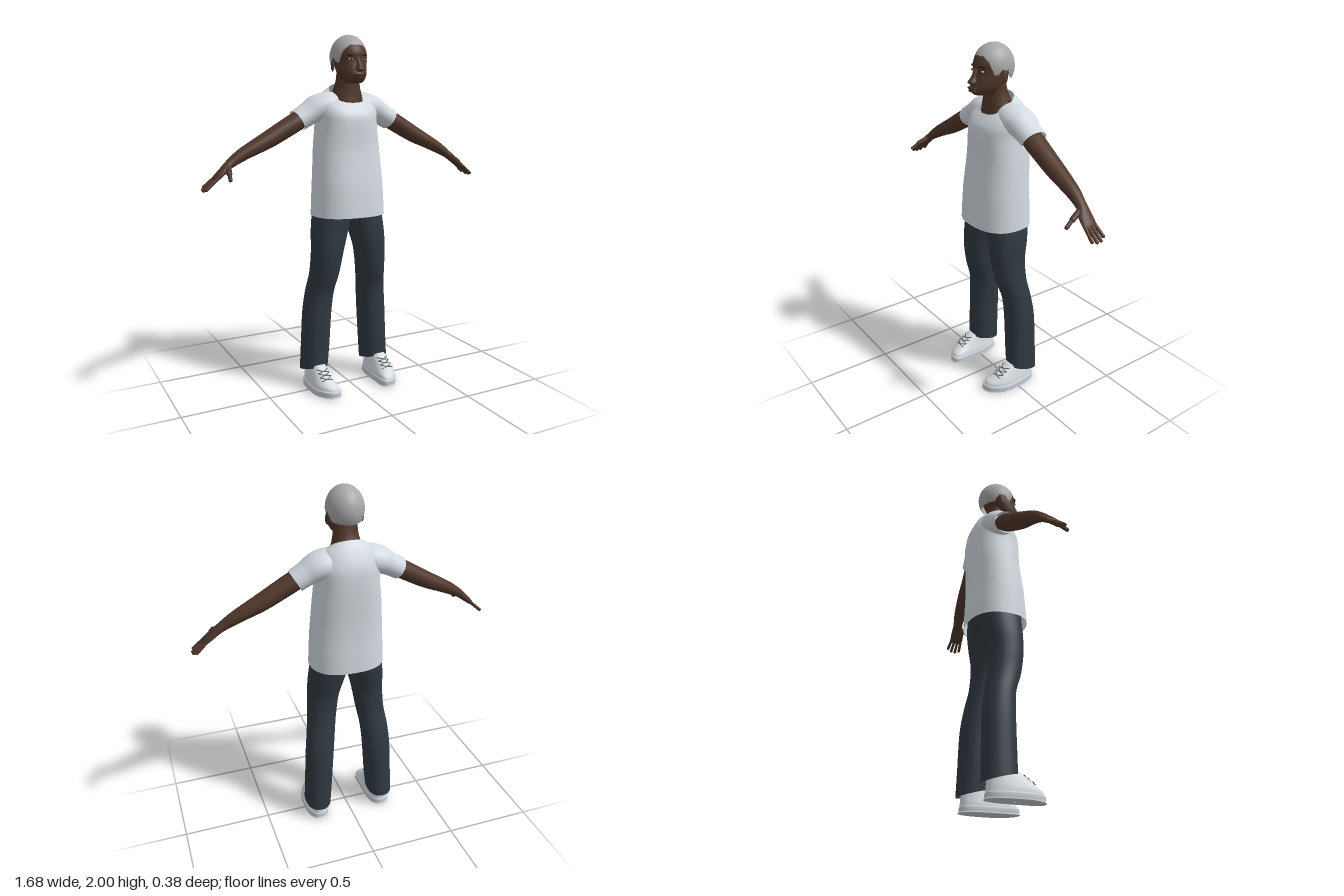
import * as THREE from 'three';
import { mergeVertices } from 'three/addons/utils/BufferGeometryUtils.js';

const material = (name, color, side = THREE.FrontSide) => {
  const m = new THREE.MeshStandardMaterial({ color, side });
  m.name = name;
  return m;
};

// Horizontal section: height, x extent, z extent (back, front), rise of the front edge
const level = (y, x0, x1, zb, zf, tilt = 0) =>
  [(x0 + x1) / 2, y, (zb + zf) / 2, (x1 - x0) / 2, (zf - zb) / 2, 0, tilt];
const even = (y, hw, zb, zf, tilt) => level(y, -hw, hw, zb, zf, tilt);

// Section across a limb that heads at `deg` in the xy plane
const across = (x, y, z, thick, wide, deg) =>
  [x, y, z, thick, wide, THREE.MathUtils.degToRad(deg - 90), 0];

const spline = (a, b, c, d, t) =>
  b + 0.5 * t * (c - a + t * (2 * a - 5 * b + 4 * c - d + t * (3 * (b - c) + d - a)));

// Smooth skin through sections [x, y, z, radiusA, radiusB, angle, tilt]
function loft(sections, power = 2, n = 36, steps = 5) {
  const rows = [];
  const last = sections.length - 1;
  const at = (i) => sections[Math.min(last, Math.max(0, i))];
  for (let i = 0; i < last; i++)
    for (let s = 0; s < steps; s++)
      rows.push(at(i).map((_, k) =>
        spline(at(i - 1)[k], at(i)[k], at(i + 1)[k], at(i + 2)[k], s / steps)));
  rows.push(sections[last]);
  const pos = [], index = [];
  const bulge = (v) => Math.sign(v) * Math.abs(v) ** (2 / power);
  rows.forEach(([x, y, z, ra, rb, ang, tilt], r) => {
    for (let j = 0; j < n; j++) {
      const t = (j / n) * Math.PI * 2;
      const a = Math.max(ra, 0.0005) * bulge(Math.cos(t)), b = bulge(Math.sin(t));
      pos.push(x + a * Math.cos(ang), y + a * Math.sin(ang) + tilt * b, z + Math.max(rb, 0.0005) * b);
      if (r === rows.length - 1) continue;
      const p = r * n + j, q = r * n + (j + 1) % n;
      index.push(p, p + n, q, q, p + n, q + n);
    }
  });
  const g = new THREE.BufferGeometry();
  g.setAttribute('position', new THREE.Float32BufferAttribute(pos, 3));
  g.setIndex(index);
  g.computeVertexNormals();
  return g;
}

function mirrored(geo) {
  const g = geo.clone();
  const p = g.attributes.position;
  for (let i = 0; i < p.count; i++) p.setX(i, -p.getX(i));
  const ix = g.index.array;
  for (let i = 0; i < ix.length; i += 3) [ix[i], ix[i + 1]] = [ix[i + 1], ix[i]];
  g.computeVertexNormals();
  return g;
}

const blob = (x, y, z, rx, ry, rz) =>
  new THREE.SphereGeometry(1, 20, 14).scale(rx, ry, rz).translate(x, y, z);

function capsule(from, to, r) {
  const a = new THREE.Vector3(...from), b = new THREE.Vector3(...to);
  const d = b.clone().sub(a);
  const q = new THREE.Quaternion().setFromUnitVectors(new THREE.Vector3(0, 1, 0), d.clone().normalize());
  const mid = a.add(b).multiplyScalar(0.5);
  return new THREE.CapsuleGeometry(r, d.length(), 5, 12).applyQuaternion(q).translate(mid.x, mid.y, mid.z);
}

// Hair cap whose lower edge follows the hairline around the head
function hairCap() {
  const line = [[0, 1.94], [0.45, 1.938], [0.8, 1.91], [1.05, 1.845], [1.25, 1.845],
    [1.4, 1.87], [1.75, 1.865], [2.0, 1.82], [3.2, 1.81]];
  const edge = (a) => {
    const i = Math.max(1, line.findIndex((p) => p[0] >= a));
    const [a0, y0] = line[i - 1], [a1, y1] = line[i];
    return y0 + (y1 - y0) * (a - a0) / (a1 - a0);
  };
  const g = new THREE.SphereGeometry(1, 72, 24);
  const p = g.attributes.position, uv = g.attributes.uv;
  for (let i = 0; i < p.count; i++) {
    const phi = uv.getX(i) * Math.PI * 2;
    const a = Math.acos(THREE.MathUtils.clamp(Math.sin(phi), -1, 1));
    const polar = (1 - uv.getY(i)) * Math.acos((edge(a) - 1.88) / 0.12);
    p.setXYZ(i, -Math.cos(phi) * Math.sin(polar) * 0.1, 1.88 + 0.12 * Math.cos(polar),
      Math.sin(phi) * Math.sin(polar) * 0.114 - 0.002);
  }
  g.deleteAttribute('uv');
  g.deleteAttribute('normal');
  const m = mergeVertices(g, 1e-5);
  m.computeVertexNormals();
  return m;
}

export function createModel() {
  const root = new THREE.Group();
  root.name = 'standingFigure';
  const skin = material('skin', 0x50372b);
  const lip = material('lips', 0x41291f);
  const hair = material('greyHair', 0xa8a8a8, THREE.DoubleSide);
  const shirt = material('shirtCloth', 0xd2d9df, THREE.DoubleSide);
  const denim = material('trouserCloth', 0x303941, THREE.DoubleSide);
  const shoe = material('shoeLeather', 0xd6dce1);
  const sole = material('shoeSole', 0xc6cdd3);
  const lace = material('laces', 0x60666b);
  const white = material('eyeWhite', 0xb9b2aa);
  const dark = material('irisAndBrow', 0x1f1613);

  const add = (name, geo, mat) => {
    const mesh = new THREE.Mesh(geo, mat);
    mesh.name = name;
    root.add(mesh);
  };
  const pair = (name, geo, mat) => {
    add(name + 'Left', geo, mat);
    add(name + 'Right', mirrored(geo), mat);
  };

  // Head and neck
  add('head', loft([
    even(1.738, 0.001, 0.05, 0.06), even(1.742, 0.035, 0, 0.112), even(1.755, 0.054, -0.02, 0.13),
    even(1.785, 0.073, -0.05, 0.134), even(1.82, 0.083, -0.065, 0.122), even(1.86, 0.089, -0.088, 0.111),
    even(1.9, 0.09, -0.1, 0.112), even(1.94, 0.08, -0.09, 0.093), even(1.97, 0.05, -0.06, 0.055),
    even(1.985, 0.001, 0, 0.001)]), skin);
  add('neck', loft([
    even(1.56, 0.08, -0.09, 0.04), even(1.63, 0.094, -0.1, 0.054), even(1.67, 0.09, -0.103, 0.052),
    even(1.71, 0.077, -0.094, 0.05), even(1.76, 0.066, -0.073, 0.05), even(1.83, 0.064, -0.058, 0.05)]), skin);
  add('hair', hairCap(), hair);
  add('nose', loft([
    even(1.797, 0.001, 0.11, 0.112), even(1.802, 0.017, 0.1, 0.143), even(1.812, 0.023, 0.1, 0.158),
    even(1.835, 0.014, 0.1, 0.141), even(1.872, 0.009, 0.1, 0.118), even(1.885, 0.001, 0.105, 0.107)], 2, 20), skin);
  add('upperLip', blob(0, 1.781, 0.131, 0.032, 0.008, 0.023), lip);
  add('lowerLip', blob(0, 1.768, 0.129, 0.028, 0.009, 0.022), lip);
  pair('ear', blob(0, 0, 0, 0.008, 0.034, 0.02).rotateX(-0.2).rotateY(0.3).translate(0.094, 1.836, -0.008), skin);
  pair('eyeWhite', blob(0.039, 1.866, 0.1, 0.014, 0.006, 0.008), white);
  pair('iris', blob(0.039, 1.866, 0.105, 0.006, 0.006, 0.005), dark);
  pair('eyebrow', blob(0, 0, 0, 0.022, 0.004, 0.006).rotateY(0.35).translate(0.042, 1.889, 0.1), dark);

  // Shirt body with scooped neck, and short sleeves
  add('shirtBody', loft([
    even(1.012, 0.21, -0.18, 0.153), even(1.1, 0.206, -0.178, 0.148), even(1.2, 0.201, -0.174, 0.14),
    even(1.3, 0.194, -0.174, 0.127), even(1.4, 0.186, -0.178, 0.116), even(1.52, 0.173, -0.182, 0.114),
    even(1.59, 0.173, -0.174, 0.106, -0.02), even(1.65, 0.155, -0.135, 0.085, -0.045),
    even(1.688, 0.1, -0.098, 0.06, -0.052)], 2.4, 48), shirt);
  pair('sleeve', loft([
    across(0.07, 1.625, -0.045, 0.07, 0.08, -8), across(0.12, 1.615, -0.05, 0.079, 0.095, -13),
    across(0.178, 1.602, -0.053, 0.073, 0.09, -20), across(0.23, 1.573, -0.051, 0.063, 0.078, -27),
    across(0.288, 1.54, -0.049, 0.06, 0.073, -30)]), shirt);

  // Bare arms, hands and fingers
  pair('arm', loft([
    across(0.2, 1.588, -0.045, 0.04, 0.045, -28), across(0.28, 1.545, -0.044, 0.05, 0.06, -29),
    across(0.37, 1.495, -0.041, 0.05, 0.056, -29), across(0.465, 1.443, -0.038, 0.046, 0.052, -27),
    across(0.55, 1.402, -0.034, 0.039, 0.045, -26), across(0.62, 1.366, -0.03, 0.033, 0.037, -31),
    across(0.685, 1.325, -0.021, 0.024, 0.03, -38), across(0.725, 1.292, -0.01, 0.019, 0.04, -42),
    across(0.765, 1.258, -0.004, 0.014, 0.041, -43), across(0.782, 1.242, -0.004, 0.002, 0.03, -43)]), skin);
  [[-0.035, -0.044, 0.8], [-0.014, -0.018, 0.98], [0.007, 0.008, 1], [0.027, 0.034, 0.9]].forEach(([z0, z1, k], i) =>
    pair('finger' + (i + 1), capsule([0.762, 1.261, z0], [0.762 + 0.071 * k, 1.261 - 0.062 * k, z1], 0.0088), skin));
  pair('thumbBase', capsule([0.698, 1.312, 0], [0.712, 1.285, 0.058], 0.015), skin);
  pair('thumbTip', capsule([0.712, 1.285, 0.058], [0.72, 1.258, 0.1], 0.0105), skin);

  // Trousers
  pair('trouserLeg', loft([
    level(0.108, 0.122, 0.275, -0.155, 0.03, 0.024), level(0.25, 0.11, 0.268, -0.151, 0.03),
    level(0.44, 0.097, 0.259, -0.146, 0.03), level(0.57, 0.084, 0.246, -0.128, 0.038),
    level(0.68, 0.067, 0.23, -0.107, 0.074), level(0.81, 0.046, 0.223, -0.102, 0.096),
    level(0.91, 0.019, 0.218, -0.122, 0.1), level(1.0, -0.004, 0.207, -0.138, 0.1),
    level(1.1, -0.01, 0.19, -0.14, 0.1)], 2.2), denim);
  add('trouserSeat', loft([
    even(0.985, 0.01, -0.06, 0.04), even(1.0, 0.1, -0.125, 0.088), even(1.04, 0.18, -0.138, 0.1),
    even(1.12, 0.18, -0.138, 0.1), even(1.14, 0.001, -0.02, -0.018)]), denim);

  // Shoes, with the toes leaning inwards
  const lean = (g) => {
    const p = g.attributes.position;
    for (let i = 0; i < p.count; i++) p.setX(i, p.getX(i) - 0.6 * Math.max(0, p.getZ(i) - 0.08) ** 1.4);
    g.computeVertexNormals();
    return g;
  };
  pair('sole', lean(loft([
    level(0, 0.195, 0.2, 0.02, 0.025), level(0.002, 0.136, 0.26, -0.13, 0.18), level(0.012, 0.131, 0.266, -0.135, 0.189),
    level(0.036, 0.131, 0.266, -0.135, 0.19), level(0.042, 0.138, 0.258, -0.128, 0.18)], 2.5)), sole);
  pair('shoeUpper', lean(loft([
    level(0.036, 0.134, 0.262, -0.132, 0.184), level(0.058, 0.136, 0.26, -0.131, 0.174),
    level(0.078, 0.141, 0.256, -0.129, 0.143), level(0.105, 0.147, 0.25, -0.126, 0.1),
    level(0.135, 0.153, 0.243, -0.124, 0.056), level(0.15, 0.158, 0.238, -0.12, 0.03),
    level(0.151, 0.195, 0.2, -0.04, -0.035)], 2.4)), shoe);
  [[0.09, 0.124], [0.105, 0.1], [0.12, 0.078]].forEach(([y, z], i) => {
    const tie = (s) => new THREE.TubeGeometry(new THREE.QuadraticBezierCurve3(
      new THREE.Vector3(0.198 - s * 0.034, y - 0.003, z - 0.008), new THREE.Vector3(0.198, y + 0.008, z + 0.008),
      new THREE.Vector3(0.198 + s * 0.034, y + 0.012, z - 0.028)), 10, 0.0028, 6);
    pair('laceA' + (i + 1), tie(1), lace);
    pair('laceB' + (i + 1), tie(-1), lace);
  });
  return root;
}
